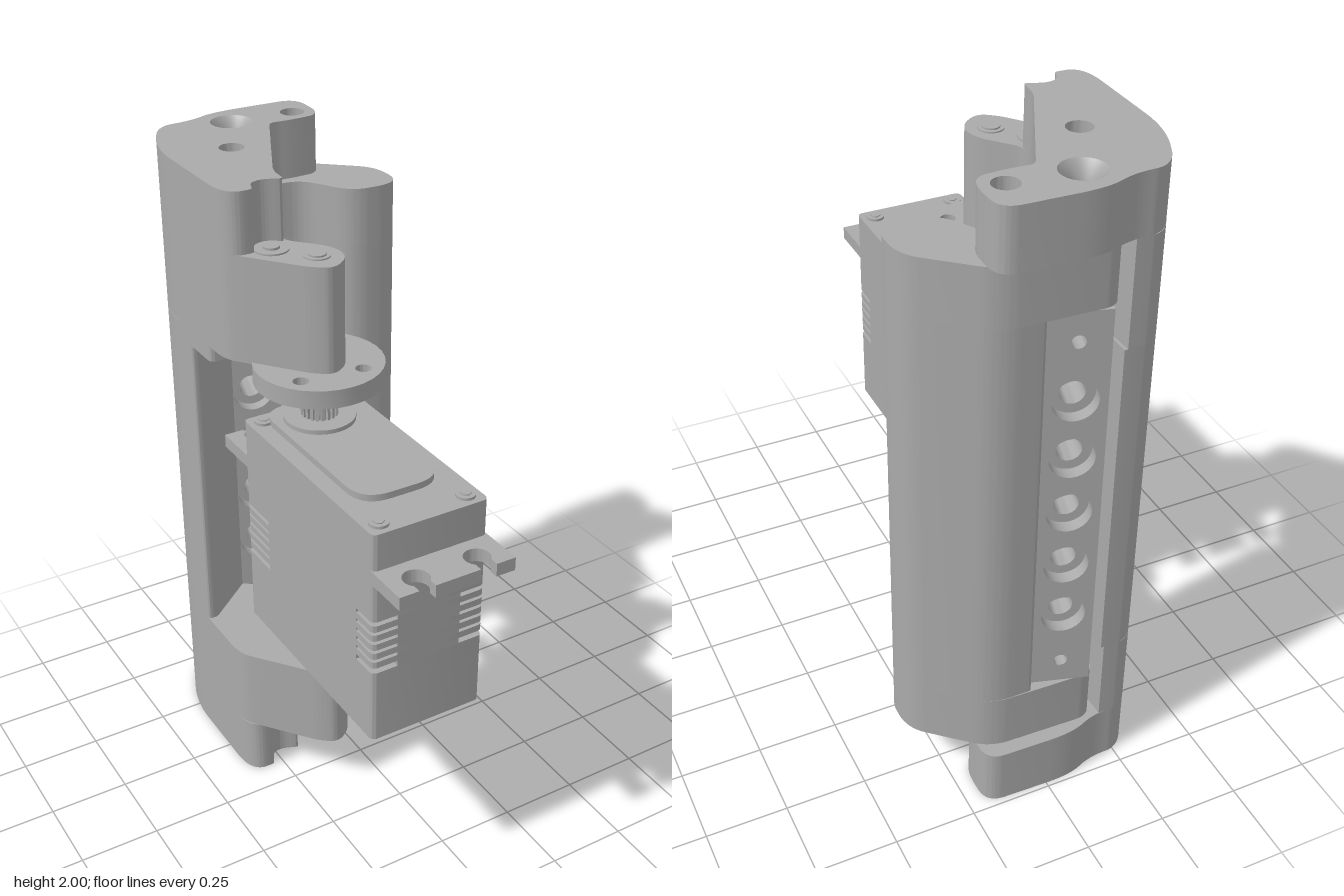
import * as THREE from 'three';
import { toCreasedNormals } from 'three/addons/utils/BufferGeometryUtils.js';
import { RoundedBoxGeometry } from 'three/addons/geometries/RoundedBoxGeometry.js';

const grey = new THREE.MeshStandardMaterial({ color: 0xaaaaaa });
grey.name = 'plainGrey';

// Closed outline from [x, z, cornerRadius] points, drawn in the floor plan
function outline(points) {
  const s = new THREE.Shape();
  const n = points.length;
  const toward = (a, b, r) => {
    const d = Math.hypot(b[0] - a[0], b[1] - a[1]);
    const t = Math.min(r, d * 0.48) / d;
    return [a[0] + (b[0] - a[0]) * t, -(a[1] + (b[1] - a[1]) * t)];
  };
  points.forEach((p, i) => {
    const r = p[2] || 0;
    const a = toward(p, points[(i + n - 1) % n], r);
    const b = toward(p, points[(i + 1) % n], r);
    if (i === 0) s.moveTo(...a); else s.lineTo(...a);
    if (r) s.quadraticCurveTo(p[0], -p[1], b[0], b[1]);
  });
  s.closePath();
  return s;
}

// Round holes given as [x, z, radius]
function drill(shape, holes) {
  for (const [x, z, r] of holes) {
    shape.holes.push(new THREE.Path().absarc(x, -z, r, 0, Math.PI * 2, true));
  }
  return shape;
}

function createModel() {
  const model = new THREE.Group();
  const add = (name, geometry, parent = model) => {
    const mesh = new THREE.Mesh(geometry, grey);
    mesh.name = name;
    parent.add(mesh);
    return mesh;
  };
  // Floor-plan shape raised from y0 to y1
  const raise = (name, shape, y0, y1, parent) => {
    const g = new THREE.ExtrudeGeometry(shape, { depth: y1 - y0, bevelEnabled: false, curveSegments: 16 });
    g.rotateX(-Math.PI / 2).translate(0, y0, 0);
    return add(name, toCreasedNormals(g, 0.6), parent);
  };
  const disc = (name, x, z, r, y0, y1, parent, sides = 40) =>
    add(name, new THREE.CylinderGeometry(r, r, y1 - y0, sides).translate(x, (y0 + y1) / 2, z), parent);
  const box = (name, x0, x1, y0, y1, z0, z1, parent) =>
    add(name, new THREE.BoxGeometry(x1 - x0, y1 - y0, z1 - z0)
      .translate((x0 + x1) / 2, (y0 + y1) / 2, (z0 + z1) / 2), parent);

  // Bracket: end slabs with a hinge knuckle
  const bracket = new THREE.Group();
  bracket.name = 'bracket';
  model.add(bracket);
  const slab = drill(outline([
    [-0.365, -0.52, 0.1], [-0.365, -0.14, 0.06], [-0.335, -0.09, 0.03], [-0.28, -0.09, 0.01],
    [-0.265, -0.135, 0.03], [-0.225, -0.145, 0.03], [-0.17, -0.12, 0.015], [-0.165, -0.19, 0.03],
    [0.02, -0.56, 0.02], [0.09, -0.555, 0.03], [0.2, -0.56, 0.09], [0.2, -0.73, 0.06],
    [-0.08, -0.738, 0.08], [-0.17, -0.7, 0.05], [-0.28, -0.7, 0.08],
  ]), [[-0.175, -0.42, 0.037], [0.13, -0.62, 0.037], [-0.07, -0.63, 0.063]]);
  raise('lowerEndSlab', slab, 0, 0.185, bracket);
  raise('upperEndSlab', slab, 1.82, 2, bracket);
  add('countersunkSeat', new THREE.LatheGeometry(
    [[0.063, 2], [0.025, 1.95], [0.025, 1.82], [0.063, 1.82]].map((p) => new THREE.Vector2(...p)), 32)
    .translate(-0.07, 0, -0.63), bracket);

  // Bracket arms reaching forward to the servo axis
  const arm = outline([
    [-0.365, -0.52, 0.1], [-0.365, -0.14, 0.06], [-0.32, -0.08, 0.03], [-0.2, 0.075, 0.03],
    [-0.145, 0.115, 0.06], [-0.075, 0.06, 0.06], [-0.075, -0.02, 0.05], [-0.17, -0.13, 0.03],
    [-0.165, -0.19, 0.03], [-0.06, -0.4, 0.02], [-0.18, -0.48], [-0.19, -0.7], [-0.28, -0.7, 0.08],
  ]);
  raise('lowerArm', arm, 0.185, 0.46, bracket);
  raise('upperArm', arm, 1.5, 1.82, bracket);

  // Curved back wall between the arms
  const wall = outline([
    [-0.365, -0.52, 0.1], [-0.365, -0.355, 0.01], [-0.335, -0.355, 0.01], [-0.18, -0.48],
    [-0.18, -0.7], [-0.28, -0.7, 0.08],
  ]);
  raise('backWall', wall, 0.46, 1.5, bracket);
  const shoulder = outline([
    [-0.365, -0.52, 0.1], [-0.365, -0.23, 0.02], [-0.145, -0.23, 0.01], [-0.08, -0.37, 0.01], [-0.18, -0.48],
  ]);
  raise('upperShoulder', shoulder, 1.45, 1.5, bracket);

  // Perforated rail with counterbored holes, turned slightly to one side
  const rail = new THREE.Group();
  rail.name = 'perforatedRail';
  rail.position.set(-0.085, 0, -0.575);
  rail.rotation.y = -0.28;
  model.add(rail);
  for (const [z0, z1, r] of [[-0.115, -0.075, 0.064], [-0.075, 0.075, 0.036], [0.075, 0.115, 0.064]]) {
    const s = new THREE.Shape();
    s.moveTo(-0.088, 0.37).lineTo(0.088, 0.37).lineTo(0.088, 1.64).lineTo(-0.088, 1.64).closePath();
    const hole = (y, q) => s.holes.push(new THREE.Path().absarc(0, y, q, 0, Math.PI * 2, true));
    for (let i = -2; i <= 2; i++) hole(1 + i * 0.185, r);
    hole(0.45, 0.02);
    hole(1.55, 0.02);
    const g = new THREE.ExtrudeGeometry(s, { depth: z1 - z0, bevelEnabled: false, curveSegments: 14 });
    add('railLayer', toCreasedNormals(g.translate(0, 0, z0), 0.6), rail);
  }

  // Swinging flap with ears above and below the rail
  const flap = new THREE.Group();
  flap.name = 'flap';
  model.add(flap);
  const leafEnd = [
    [0.03, -0.545, 0.02], [0.11, -0.53, 0.05], [0.2, -0.375, 0.06],
    [0.365, -0.37, 0.08], [0.365, -0.52, 0.06], [0.17, -0.69, 0.06],
  ];
  raise('flapLeaf', outline([...leafEnd, [0.04, -0.69, 0.01]]), 0.37, 1.64, flap);
  const ear = outline([...leafEnd, [-0.17, -0.7, 0.06], [-0.17, -0.56, 0.06], [-0.05, -0.545, 0.02]]);
  raise('lowerEar', ear, 0.19, 0.37, flap);
  raise('upperEar', ear, 1.64, 1.815, flap);

  // Servo case: lower part, vented band and upper part
  const servo = new THREE.Group();
  servo.name = 'servo';
  model.add(servo);
  const X0 = -0.325, X1 = 0.035, Z0 = -0.115, Z1 = 0.605;
  const cx = -0.145, cz = 0.015;
  const caseShape = outline([[X0, Z0, 0.02], [X0, Z1, 0.02], [X1, Z1, 0.02], [X1, Z0, 0.02]]);
  raise('lowerCase', caseShape, 0.63, 0.86, servo);
  raise('upperCase', caseShape, 1.03, 1.305, servo);
  box('ventCore', X0 + 0.02, X1 - 0.02, 0.86, 1.03, Z0 + 0.02, Z1 - 0.02, servo);
  box('ventMiddle', X0 + 0.08, X1 - 0.08, 0.86, 1.03, Z0, Z1, servo);
  box('ventSides', X0, X1, 0.86, 1.03, 0.02, 0.52, servo);
  for (let i = 0; i < 5; i++) raise('ventFin', caseShape, 0.877 + i * 0.03, 0.897 + i * 0.03, servo);

  // Mounting flange with keyhole slots at both ends
  const tabs = new THREE.Shape();
  const E0 = -0.245, E1 = 0.735;
  tabs.moveTo(X0, -E0).lineTo(X0, -E1);
  const slot = (x, z, end, dir) => {
    // dir is +1 for the front end and -1 for the back end
    tabs.lineTo(x - dir * 0.025, -end);
    const a = dir > 0 ? -Math.PI / 2 : Math.PI / 2;
    tabs.absarc(x, -z, 0.038, a - 0.72, a + 0.72, true);
    tabs.lineTo(x + dir * 0.025, -end);
  };
  slot(cx - 0.095, 0.68, E1, 1);
  slot(cx + 0.095, 0.68, E1, 1);
  tabs.lineTo(X1, -E1).lineTo(X1, -E0);
  slot(cx + 0.095, -0.2, E0, -1);
  slot(cx - 0.095, -0.2, E0, -1);
  tabs.closePath();
  raise('mountingFlange', tabs, 1.153, 1.193, servo);

  // Raised lid, output boss, splined shaft, screws and cable exit
  raise('lid', outline([[-0.275, -0.1, 0.08], [-0.275, 0.47, 0.09], [-0.015, 0.47, 0.09], [-0.015, -0.1, 0.08]]),
    1.305, 1.325, servo);
  disc('outputBoss', cx, cz, 0.105, 1.305, 1.338, servo);
  disc('outputShaft', cx, cz, 0.045, 1.33, 1.41, servo);
  for (let i = 0; i < 20; i++) {
    const a = (i / 20) * Math.PI * 2;
    const tooth = add('splineTooth', new THREE.BoxGeometry(0.014, 0.07, 0.008), servo);
    tooth.position.set(cx + Math.cos(a) * 0.047, 1.375, cz + Math.sin(a) * 0.047);
    tooth.rotation.y = -a;
  }
  for (const x of [-0.28, -0.01]) {
    for (const z of [-0.075, 0.56]) {
      disc('caseScrew', x, z, 0.028, 1.305, 1.313, servo, 24);
      disc('screwSocket', x, z, 0.016, 1.313, 1.316, servo, 6);
      disc('caseFoot', x, z, 0.028, 0.624, 0.632, servo, 24);
    }
  }
  const cable = add('cableExit', new RoundedBoxGeometry(0.13, 0.05, 0.1, 2, 0.015), servo);
  cable.position.set(cx, 0.694, -0.15);

  // Round horn on the servo axis, with holes and slotted screws
  const horn = new THREE.Group();
  horn.name = 'horn';
  model.add(horn);
  const plate = new THREE.Shape().absarc(cx, -cz, 0.188, 0, Math.PI * 2, false);
  drill(plate, [[-0.25, 0.1, 0.023], [-0.062, 0.12, 0.023], [cx, cz, 0.028]]);
  raise('hornDisc', plate, 1.45, 1.505, horn);
  disc('hornScrew', -0.04, -0.068, 0.024, 1.5, 1.512, horn, 24);
  disc('armScrew', -0.23, -0.088, 0.05, 1.82, 1.825, horn);
  disc('armScrewHead', -0.23, -0.088, 0.024, 1.825, 1.832, horn, 24);
  disc('axisCollar', cx, cz, 0.038, 1.82, 1.824, horn);
  disc('axisPin', cx, cz, 0.026, 1.824, 1.829, horn);
  disc('lowerAxisPin', cx, cz, 0.03, 0.455, 0.466, horn);
  return model;
}

export { createModel };
